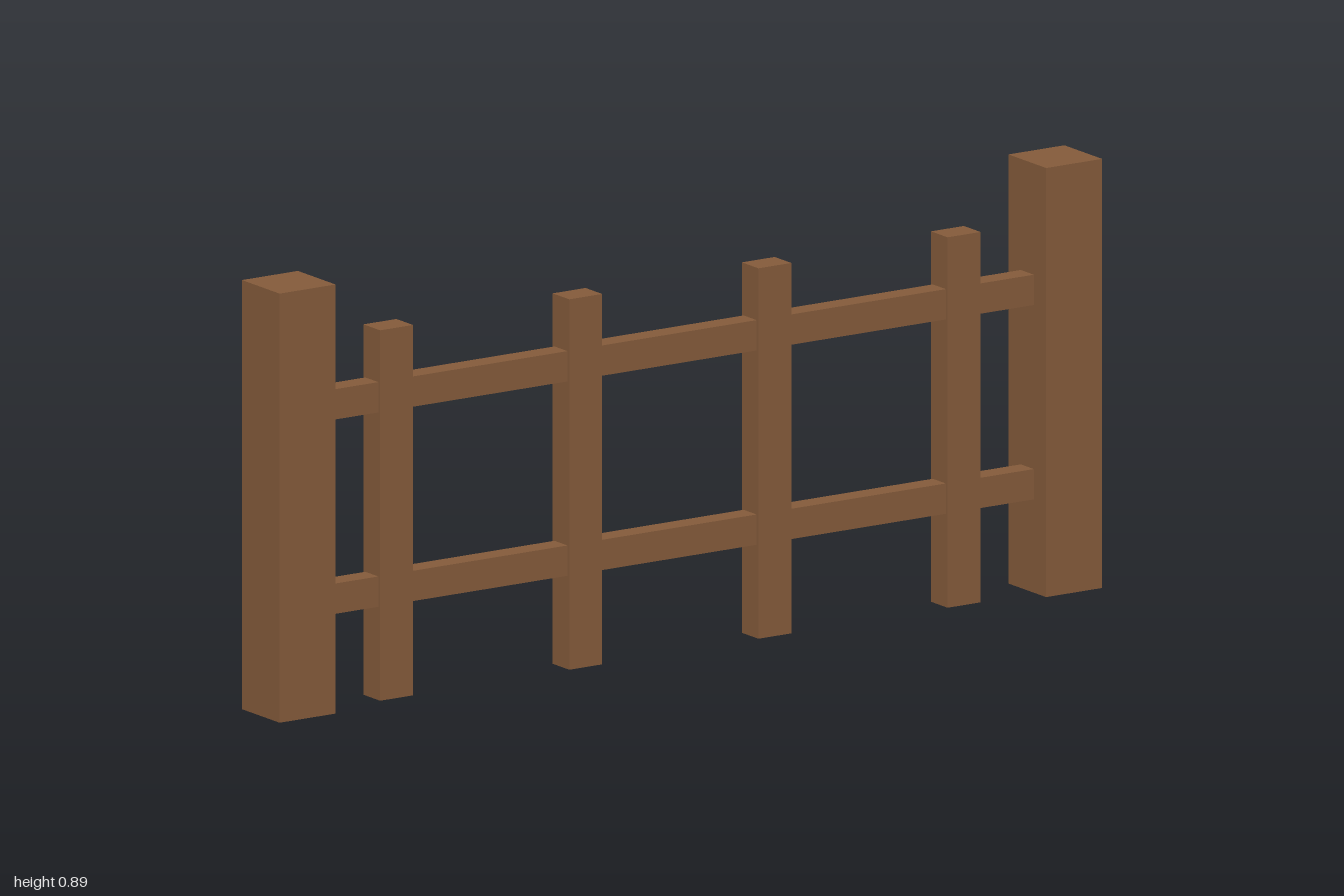
import * as THREE from 'three';

export function createModel() {
  const group = new THREE.Group();
  group.name = 'fence';
  const wood = new THREE.MeshStandardMaterial({ color: 0x835a3a });
  wood.name = 'brown wood';

  // Box centred on z = 0, placed by its centre x and bottom y
  const addBeam = (name, width, height, depth, x, bottom) => {
    const mesh = new THREE.Mesh(new THREE.BoxGeometry(width, height, depth), wood);
    mesh.name = name;
    mesh.position.set(x, bottom + height / 2, 0);
    group.add(mesh);
  };

  // Thick end posts
  addBeam('rightPost', 0.136, 0.892, 0.136, -0.932, 0);
  addBeam('leftPost', 0.136, 0.892, 0.136, 0.932, 0);

  // Evenly spaced upright pickets
  for (let i = 0; i < 4; i++) {
    addBeam(`picket${i + 1}`, 0.08, 0.77, 0.06, -0.69 + i * 0.46, 0);
  }

  // Horizontal rails between the posts
  addBeam('lowerRail', 1.728, 0.063, 0.047, 0, 0.194);
  addBeam('upperRail', 1.728, 0.063, 0.047, 0, 0.598);

  return group;
}
